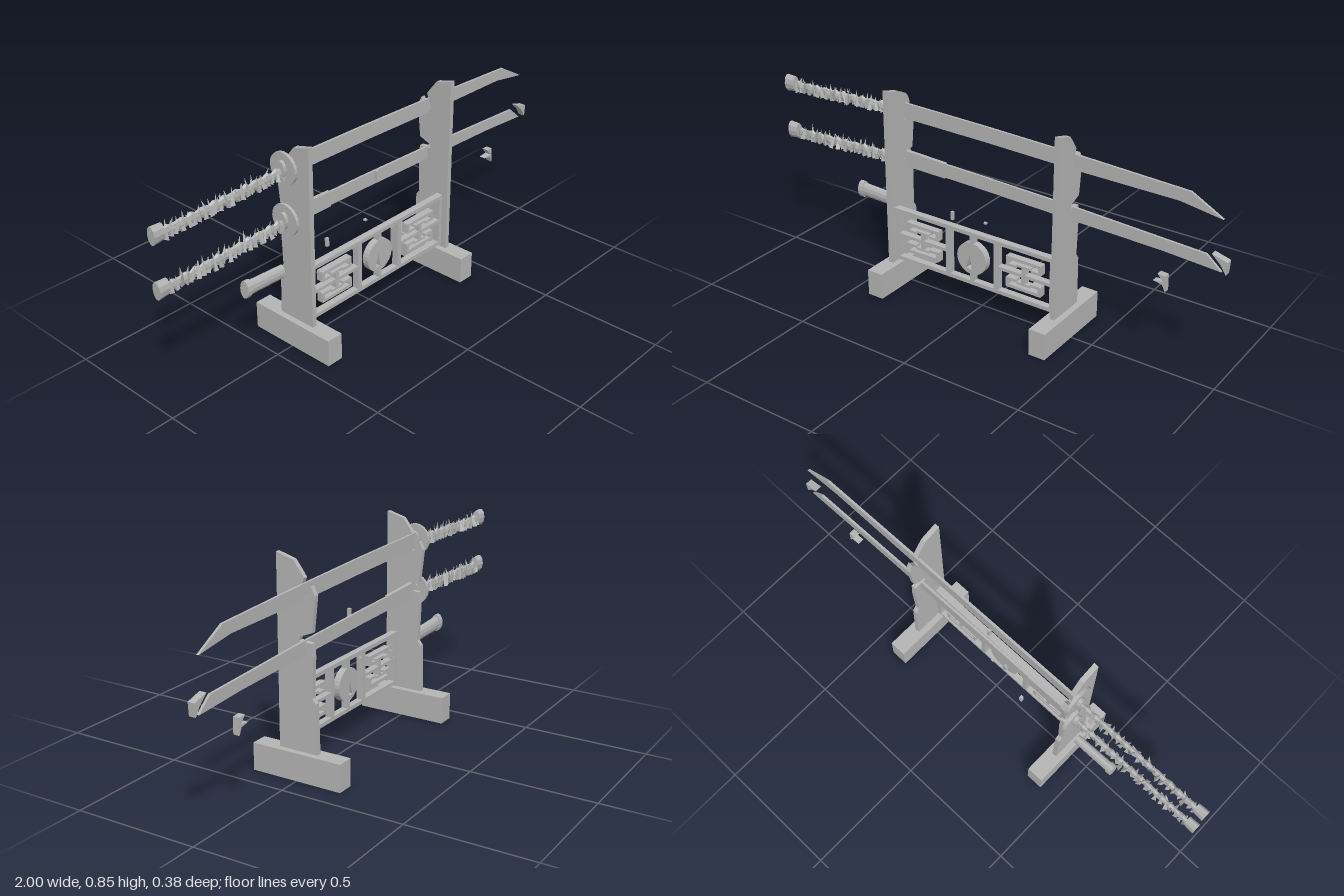
import * as THREE from 'three';

export function createModel() {
  const model = new THREE.Group();
  const grey = new THREE.MeshStandardMaterial({ color: 0xb4b4b4, side: THREE.DoubleSide, flatShading: true });
  grey.name = 'plain grey';

  let seed = 7;
  const rand = () => (seed = (seed * 16807) % 2147483647) / 2147483647;

  function add(parent, name, geometry, x = 0, y = 0, z = 0) {
    const mesh = new THREE.Mesh(geometry, grey);
    mesh.name = name;
    mesh.position.set(x, y, z);
    parent.add(mesh);
    return mesh;
  }
  function group(name) {
    const g = new THREE.Group();
    g.name = name;
    model.add(g);
    return g;
  }
  // Flat outline extruded along z and centred on z = 0
  function plate(points, depth) {
    const shape = new THREE.Shape(points.map(p => new THREE.Vector2(...p)));
    return new THREE.ExtrudeGeometry(shape, { depth, bevelEnabled: false }).translate(0, 0, -depth / 2);
  }

  // Uprights with hooked back edges, on feet that are open underneath
  const profile = [[0.087, 0.1], [0.087, 0.845], [0.015, 0.825], [-0.008, 0.795], [-0.03, 0.765], [-0.012, 0.72],
    [-0.012, 0.7], [-0.035, 0.7], [-0.058, 0.74], [-0.075, 0.705], [-0.06, 0.57], [-0.01, 0.55], [-0.005, 0.535],
    [-0.06, 0.53], [-0.064, 0.48], [-0.058, 0.325], [-0.073, 0.305], [-0.078, 0.1]];
  for (const [side, x] of [['right', -0.39], ['left', 0.375]]) {
    const stand = group(side + 'Stand');
    add(stand, 'upright', plate(profile, 0.02).rotateY(-Math.PI / 2), x);
    add(stand, 'footTop', new THREE.PlaneGeometry(0.07, 0.38).rotateX(-Math.PI / 2), x, 0.11);
    for (const s of [-1, 1]) {
      add(stand, 'footSide', new THREE.PlaneGeometry(0.38, 0.11).rotateY(s * Math.PI / 2), x + s * 0.035, 0.055);
      add(stand, 'footEnd', new THREE.PlaneGeometry(0.07, 0.11).rotateY(s > 0 ? 0 : Math.PI), x, 0.055, s * 0.19);
    }
  }

  // Fretwork panel between the uprights
  const panel = group('fretPanel');
  panel.position.set(-0.007, 0.236, 0.05);
  const bar = (x, y, w, h, d = 0.028) => add(panel, 'fretBar', new THREE.BoxGeometry(w, h, d), x, y);
  for (const s of [-1, 1]) {
    bar(0, s * 0.105, 0.745, 0.016);
    bar(s * 0.362, 0, 0.018, 0.22);
    bar(s * 0.113, 0, 0.02, 0.22);
    const cx = s * 0.237;
    bar(cx, 0, 0.25, 0.013);
    bar(cx, 0, 0.016, 0.075);
    for (const t of [-1, 1]) {
      bar(cx, t * 0.06, 0.155, 0.013);
      bar(cx, t * 0.037, 0.06, 0.009);
      for (const e of [-1, 1]) {
        bar(cx + e * 0.072, t * 0.045, 0.013, 0.036);
        bar(cx + e * 0.055, t * 0.03, 0.045, 0.011);
      }
    }
    bar(0, s * 0.083, 0.016, 0.035);
  }
  const disc = new THREE.Shape().absarc(0, 0, 0.068, 0, Math.PI * 2);
  disc.holes.push(new THREE.Path([[-0.025, -0.045], [0, -0.048], [-0.008, 0.01]].map(p => new THREE.Vector2(...p))));
  add(panel, 'medallion', new THREE.ExtrudeGeometry(disc, { depth: 0.028, bevelEnabled: false, curveSegments: 14 }), 0, 0, -0.014);

  // Ragged wrapped grip: flattened core and torn wrap points
  function makeGrip(parent, y0, y1) {
    const grip = new THREE.Group();
    grip.name = 'grip';
    parent.add(grip);
    const length = 0.56, tilt = Math.atan2(y1 - y0, length);
    grip.position.set(-0.975, y0, -0.022);
    grip.rotation.z = tilt;
    const core = new THREE.CylinderGeometry(0.026, 0.026, length, 8, 28).rotateZ(-Math.PI / 2);
    const p = core.attributes.position;
    for (let i = 0; i < p.count; i++) {
      const k = 0.8 + 0.25 * Math.sin(p.getX(i) * 131 + p.getY(i) * 40);
      p.setXYZ(i, p.getX(i), p.getY(i) * k - 0.006, p.getZ(i) * 0.45 * k);
    }
    core.computeVertexNormals();
    add(grip, 'gripCore', core, length / 2);
    for (let i = 0; i < 46; i++) {
      const h = 0.04 + rand() * 0.03;
      const strip = add(grip, 'wrapPoint', new THREE.ConeGeometry(0.011, h, 3),
        0.02 + i * 0.0117, -0.032 + h / 2 + rand() * 0.006, (i % 2 ? 1 : -1) * (0.006 + rand() * 0.005));
      strip.rotation.set(0, rand() * 3, (rand() - 0.5) * 0.8);
    }
    const pommel = add(grip, 'pommel', new THREE.CylinderGeometry(0.036, 0.032, 0.045, 10).rotateZ(Math.PI / 2), 0, 0.002);
    pommel.scale.z = 0.55;
  }

  // Swords: curved blade, round guard and grip
  function makeSword(name, outline, guardY, gripStart) {
    const sword = group(name);
    add(sword, 'blade', plate(outline, 0.01), 0, 0, -0.024);
    add(sword, 'guard', new THREE.CylinderGeometry(0.063, 0.063, 0.012, 20).rotateZ(Math.PI / 2), -0.414, guardY, -0.022);
    add(sword, 'guardCollar', new THREE.CylinderGeometry(0.035, 0.035, 0.035, 12).rotateZ(Math.PI / 2).scale(1, 1, 0.6), -0.416, guardY, -0.022);
    makeGrip(sword, gripStart, guardY - 0.005);
    return sword;
  }
  makeSword('upperSword', [[-0.41, 0.702], [0, 0.695], [0.4, 0.684], [0.8, 0.68], [0.965, 0.655],
    [0.84, 0.724], [0.4, 0.744], [0, 0.757], [-0.41, 0.766]], 0.738, 0.716);
  const lower = makeSword('lowerSword', [[-0.41, 0.503], [0, 0.495], [0.4, 0.482], [0.75, 0.472], [0.975, 0.458],
    [0.915, 0.51], [0.4, 0.536], [0, 0.55], [-0.41, 0.56]], 0.532, 0.508);
  add(lower, 'bladeCollar', plate([[-0.41, 0.5], [-0.19, 0.496], [-0.19, 0.558], [-0.41, 0.567]], 0.016), 0, 0, -0.024);

  // Broken scabbard end
  const scabbard = group('scabbardEnd');
  scabbard.position.set(-0.53, 0.332, -0.022);
  scabbard.rotation.z = -0.04;
  add(scabbard, 'scabbardTube', new THREE.CylinderGeometry(0.028, 0.03, 0.175, 12).rotateZ(-Math.PI / 2).scale(1, 1, 0.6));
  add(scabbard, 'scabbardCap', new THREE.CylinderGeometry(0.036, 0.036, 0.022, 12).rotateZ(Math.PI / 2).scale(1, 1, 0.6), -0.084);

  // Loose splinters
  const shards = group('splinters');
  add(shards, 'tipShard', plate([[0.94, 0.525], [1, 0.508], [0.997, 0.458], [0.975, 0.492]], 0.028), 0, 0, -0.02);
  add(shards, 'cornerShard', plate([[0.728, 0.352], [0.768, 0.356], [0.745, 0.384], [0.776, 0.382], [0.778, 0.318], [0.765, 0.345]], 0.026), 0, 0, -0.02);
  for (const [x, y, z, w, h] of [[0.04, 0.541, 0.003, 0.012, 0.042], [-0.18, 0.325, -0.05, 0.012, 0.035], [0, 0.357, -0.02, 0.012, 0.006]])
    add(shards, 'smallChip', new THREE.BoxGeometry(w, h, 0.012), x, y, z);

  return model;
}
